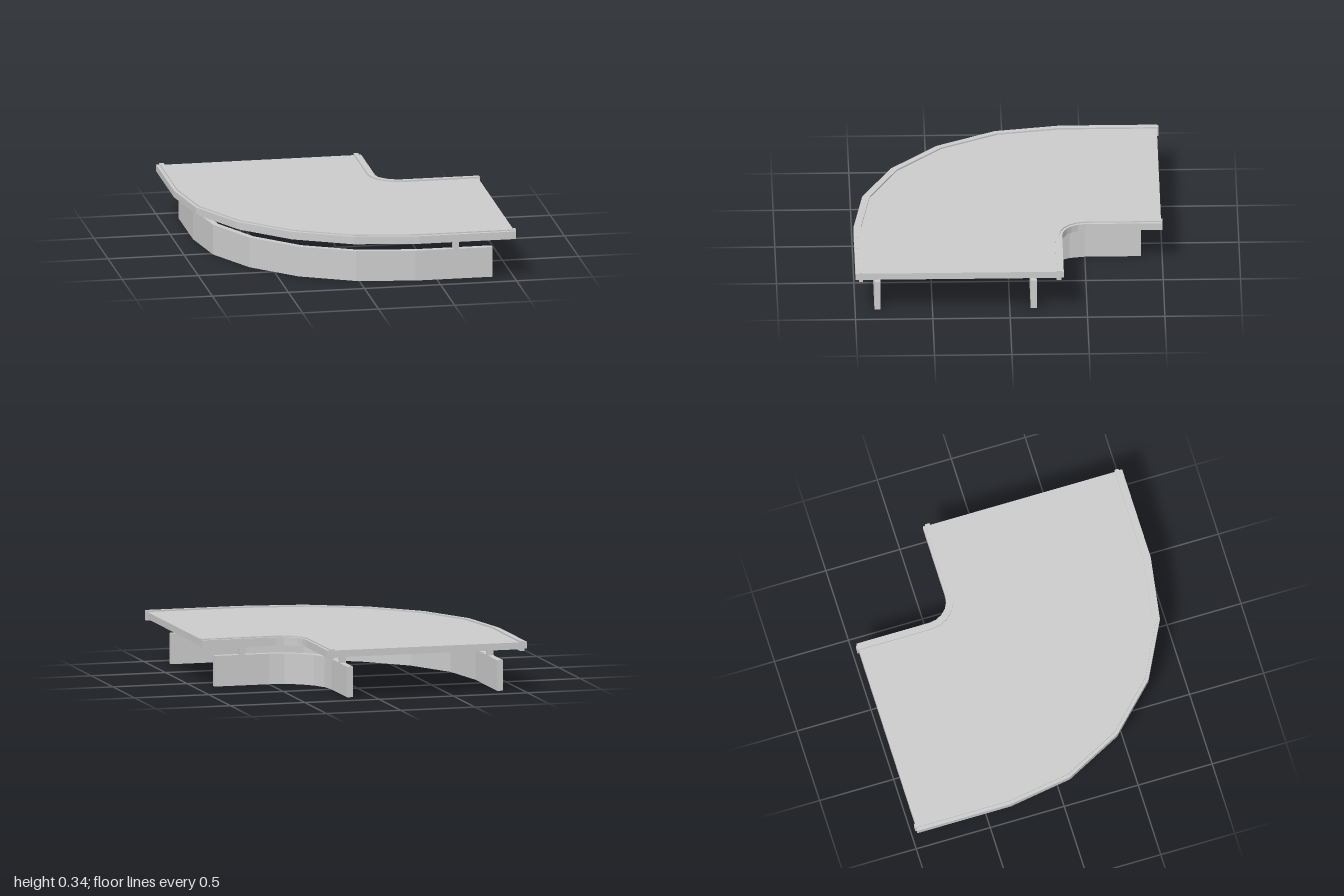
import * as THREE from 'three';

const material = new THREE.MeshStandardMaterial({ color: 0xcccccc, flatShading: true });
const OUTER = 0.36; // corner centre of the wide bend, at (c, -c) in x and z
const INNER = 0.5; // corner centre of the tight bend

// Quarter bend of five facets with a straight run at each end (plan coordinates x, -z)
function bend(centre, radius, end) {
  const points = [new THREE.Vector2(end, centre - radius)];
  for (let i = 0; i <= 5; i++) {
    const a = -Math.PI / 2 - (i / 5) * (Math.PI / 2);
    points.push(new THREE.Vector2(centre + radius * Math.cos(a), centre + radius * Math.sin(a)));
  }
  points.push(new THREE.Vector2(centre - radius, end));
  return points;
}

// Solid between two bends, raised from y0 to y1
function slab(name, pathA, pathB, y0, y1) {
  const shape = new THREE.Shape([...pathA, ...pathB.reverse()]);
  const geometry = new THREE.ExtrudeGeometry(shape, { depth: y1 - y0, bevelEnabled: false });
  geometry.rotateX(-Math.PI / 2).translate(0, y0, 0);
  const mesh = new THREE.Mesh(geometry, material);
  mesh.name = name;
  return mesh;
}

function band(name, centre, r0, r1, end, y0, y1) {
  return slab(name, bend(centre, r0, end), bend(centre, r1, end), y0, y1);
}

export function createModel() {
  const model = new THREE.Group();
  model.name = 'cornerConveyor';

  // Flat deck
  model.add(slab('deck', bend(OUTER, 1.33, 0.99), bend(INNER, 0.185, 0.99), 0.285, 0.33));

  // Side rails, each with a thinner strip on its outside
  model.add(band('outerRail', OUTER, 1.31, 1.338, 1, 0.275, 0.34));
  model.add(band('outerRailStrip', OUTER, 1.338, 1.36, 0.993, 0.288, 0.332));
  model.add(band('innerRail', INNER, 0.17, 0.2, 1, 0.275, 0.34));
  model.add(band('innerRailStrip', INNER, 0.153, 0.17, 0.993, 0.288, 0.332));

  // Curved support walls
  model.add(band('outerWall', OUTER, 1.195, 1.235, 0.865, 0, 0.2));
  model.add(band('innerWall', INNER, 0.325, 0.365, 0.865, 0, 0.2));

  // Short posts from the walls up to the deck, mirrored across the diagonal
  const post = new THREE.BoxGeometry(0.04, 0.09, 0.04);
  for (const [name, x, z] of [['outerPost', 0.625, 0.855], ['innerPost', 0.68, -0.155]]) {
    for (const [px, pz] of [[x, z], [-z, -x]]) {
      const mesh = new THREE.Mesh(post, material);
      mesh.name = name;
      mesh.position.set(px, 0.243, pz);
      model.add(mesh);
    }
  }
  return model;
}
